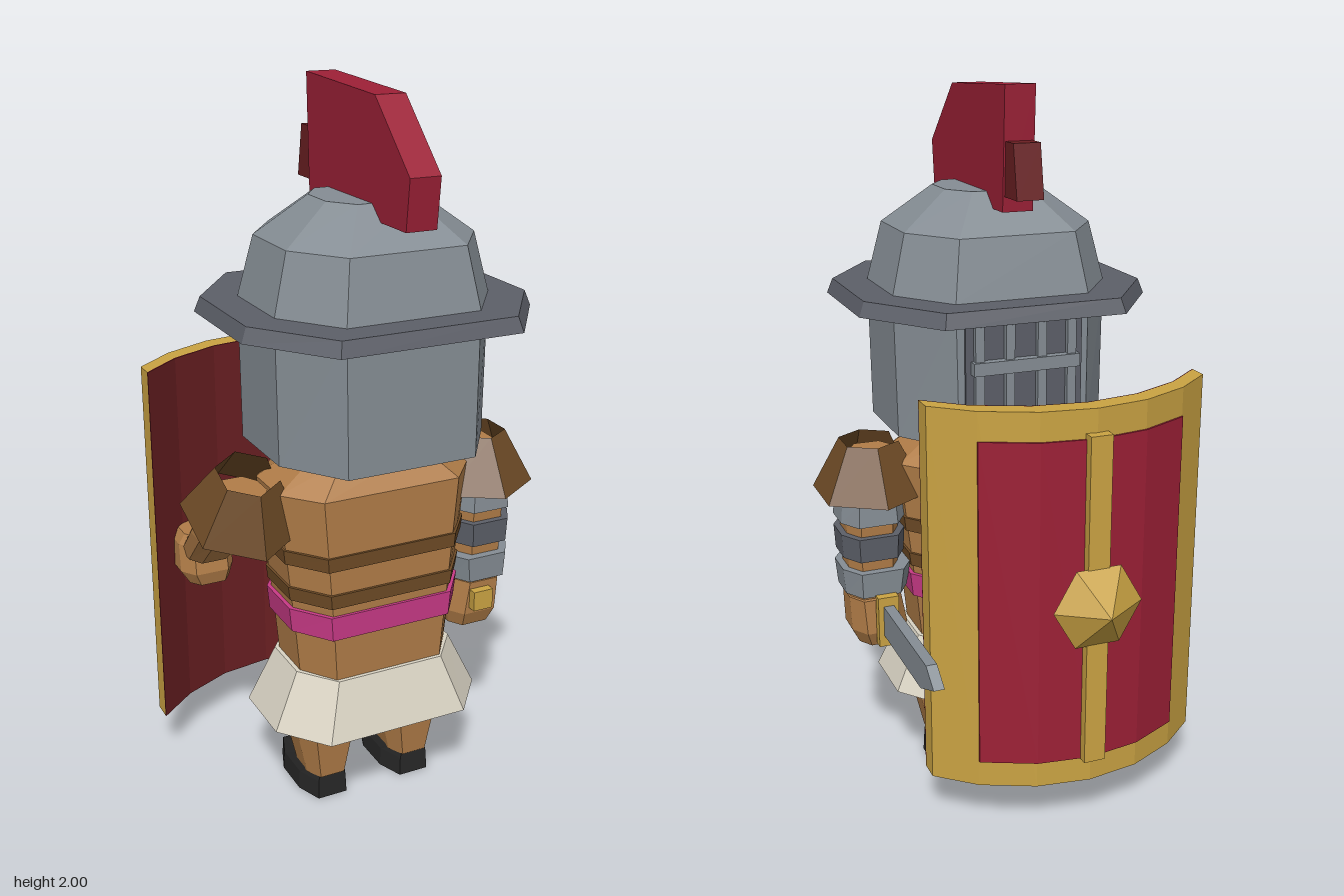
import * as THREE from 'three';

const mat = (name, color, side = THREE.FrontSide) => {
  const m = new THREE.MeshStandardMaterial({ color, side });
  m.name = name;
  return m;
};

// Octagonal loft; each section is [y, halfX, halfZ, centreX, centreZ]
function loft(sections, kx = 0.61, kz = 0.43) {
  const rings = sections.map(([y, hx, hz, cx = 0, cz = 0]) => {
    const a = hx * kx, b = hz * kz;
    return [[-a, hz], [a, hz], [hx, b], [hx, -b], [a, -hz], [-a, -hz], [-hx, -b], [-hx, b]]
      .map(([x, z]) => [cx + x, y, cz + z]);
  });
  const pos = [];
  const tri = (...pts) => pts.forEach((p) => pos.push(...p));
  for (let r = 0; r < rings.length - 1; r++) {
    const lo = rings[r], hi = rings[r + 1];
    for (let i = 0; i < 8; i++) {
      const j = (i + 1) % 8;
      tri(lo[i], lo[j], hi[j]);
      tri(lo[i], hi[j], hi[i]);
    }
  }
  const bottom = rings[0], top = rings[rings.length - 1];
  for (let i = 1; i < 7; i++) {
    tri(top[0], top[i], top[i + 1]);
    tri(bottom[0], bottom[i + 1], bottom[i]);
  }
  const g = new THREE.BufferGeometry();
  g.setAttribute('position', new THREE.Float32BufferAttribute(pos, 3));
  g.computeVertexNormals();
  return g;
}

const flat = (g) => {
  const f = g.index ? g.toNonIndexed() : g;
  f.computeVertexNormals();
  return f;
};

const box = (w, h, d, x, y, z) => new THREE.BoxGeometry(w, h, d).translate(x, y, z);

// Side profile of [z, y] points given a width in x
function sideExtrude(points, width, x = 0) {
  const shape = new THREE.Shape(points.map(([z, y]) => new THREE.Vector2(-z, y)));
  return new THREE.ExtrudeGeometry(shape, { depth: width, bevelEnabled: false })
    .translate(0, 0, -width / 2).rotateY(Math.PI / 2).translate(x, 0, 0);
}

// Plan outline of [x, z] points raised from y0 to y1
function planExtrude(points, y0, y1) {
  const shape = new THREE.Shape(points.map(([x, z]) => new THREE.Vector2(x, -z)));
  return new THREE.ExtrudeGeometry(shape, { depth: y1 - y0, bevelEnabled: false })
    .rotateX(-Math.PI / 2).translate(0, y0, 0);
}

export function createModel() {
  const steel = mat('steel', 0x858d94);
  const darkSteel = mat('dark steel', 0x5c5f68);
  const red = mat('red', 0x9c2036);
  const darkRed = mat('dark red', 0x6a1f22);
  const skin = mat('skin', 0xb17d48);
  const leather = mat('leather', 0x6e4b26, THREE.DoubleSide);
  const magenta = mat('magenta', 0xc83a86);
  const cream = mat('cream', 0xdad4c4);
  const black = mat('black', 0x262626);
  const gold = mat('gold', 0xcaa343);

  const model = new THREE.Group();
  model.name = 'gladiator';
  const add = (name, geo, material, parent = model) => {
    const m = new THREE.Mesh(geo, material);
    m.name = name;
    parent.add(m);
    return m;
  };

  // Helmet
  const H = 0.135;
  const ring = (y, hx, hz) => [y, hx, hz, 0, H];
  add('helmet', loft([ring(1.07, 0.3, 0.285), ring(1.44, 0.305, 0.28), ring(1.46, 0.305, 0.28),
    ring(1.62, 0.265, 0.245), ring(1.72, 0.133, 0.125)]), steel);
  add('helmetBrim', loft([ring(1.42, 0.41, 0.38), ring(1.46, 0.395, 0.365)]), darkSteel);

  // Face grille
  add('visorPlate', box(0.33, 0.28, 0.008, 0, 1.27, -0.151), darkSteel);
  for (const x of [-0.13, -0.045, 0.045, 0.13]) {
    add('visorBar', box(0.025, 0.26, 0.02, x, 1.27, -0.16), steel);
  }
  add('visorCrossbar', box(0.3, 0.035, 0.025, 0, 1.29, -0.167), steel);

  // Crest
  add('crest', sideExtrude([[0.45, 1.81], [0.435, 1.68], [-0.105, 1.68], [-0.12, 2], [0.27, 1.98]], 0.084), red);
  add('crestHolder', sideExtrude([[-0.09, 1.72], [-0.19, 1.72], [-0.165, 1.86], [-0.1, 1.86]], 0.074), darkRed);

  // Torso and clothing
  const T = 0.14;
  const slice = (y, hx, hz) => [y, hx, hz, 0, T];
  add('torso', loft([slice(0.4, 0.225, 0.165), slice(0.56, 0.24, 0.17), slice(0.65, 0.25, 0.172),
    slice(0.97, 0.285, 0.175), slice(1.05, 0.17, 0.11)], 0.7), skin);
  add('neck', loft([[1.03, 0.13, 0.12, 0, 0.1], [1.08, 0.13, 0.12, 0, 0.1]]), skin);
  add('belt', loft([slice(0.565, 0.253, 0.178), slice(0.635, 0.26, 0.18)], 0.7), magenta);
  add('lowerStrap', loft([slice(0.66, 0.257, 0.178), slice(0.7, 0.262, 0.18)], 0.7), leather);
  add('upperStrap', loft([slice(0.77, 0.27, 0.179), slice(0.81, 0.274, 0.18)], 0.7), leather);
  add('skirt', loft([slice(0.275, 0.315, 0.23), slice(0.435, 0.24, 0.177)], 0.66), cream);

  // Legs and shoes
  for (const side of [-1, 1]) {
    const x = side * 0.133;
    add('leg', loft([[0.07, 0.06, 0.08, x, T], [0.2, 0.09, 0.095, x, T], [0.3, 0.105, 0.1, x, T]]), skin);
    add('shoe', loft([[0, 0.073, 0.13, x, 0.09], [0.055, 0.07, 0.127, x, 0.09],
      [0.095, 0.055, 0.075, x, 0.14]]), black);
  }

  // Shoulder guards: open six-sided cones with a gap on the inner side
  for (const side of [-1, 1]) {
    const cone = new THREE.CylinderGeometry(0.085, 0.165, 0.15, 5, 1, true,
      -Math.PI / 3, Math.PI * 5 / 3);
    const g = flat(cone.scale(1, 1, 1.08));
    const guard = add('shoulderGuard', g, leather);
    guard.position.set(side * 0.35, 0.955, T);
    guard.rotation.set(side < 0 ? 0.35 : 0, side < 0 ? Math.PI : 0, 0);
  }

  // Sword arm
  const A = 0.36, Z = 0.13;
  add('swordArm', loft([[0.55, 0.07, 0.075, A, Z], [0.8, 0.075, 0.085, A, Z], [1.0, 0.06, 0.07, A - 0.02, Z]]), skin);
  add('swordHand', loft([[0.435, 0.065, 0.07, 0.345, 0.12], [0.48, 0.082, 0.088, 0.35, 0.12],
    [0.58, 0.075, 0.085, 0.36, 0.125]]), skin);
  add('upperArmBand', loft([[0.81, 0.092, 0.103, A, Z], [0.88, 0.085, 0.098, A, Z]]), steel);
  add('middleArmBand', loft([[0.705, 0.088, 0.1, A, Z], [0.775, 0.092, 0.103, A, Z]]), darkSteel);
  add('lowerArmBand', loft([[0.595, 0.09, 0.1, 0.355, Z], [0.67, 0.1, 0.104, 0.352, Z]]), steel);

  // Sword
  add('swordBlade', sideExtrude([[0.01, 0.483], [-0.32, 0.483], [-0.43, 0.53], [-0.37, 0.573], [0.01, 0.573]], 0.03, 0.345), steel);
  add('swordGuard', box(0.06, 0.15, 0.027, 0.345, 0.525, 0.017), gold);
  add('swordPommel', box(0.062, 0.06, 0.04, 0.345, 0.53, 0.215), gold);

  // Shield arm, reaching back and down
  add('shieldArm', loft([[0.66, 0.06, 0.075, -0.355, -0.17], [0.78, 0.068, 0.08, -0.365, -0.03],
    [0.97, 0.065, 0.08, -0.36, 0.13]]), skin);
  add('shieldHand', loft([[0.57, 0.06, 0.055, -0.345, -0.19], [0.61, 0.08, 0.08, -0.35, -0.205],
    [0.69, 0.078, 0.08, -0.35, -0.22], [0.72, 0.06, 0.06, -0.35, -0.21]]), skin);

  // Curved shield
  const arc = [[-0.5, -0.225], [-0.39, -0.315], [-0.25, -0.38], [-0.1, -0.402],
    [0.05, -0.38], [0.195, -0.315], [0.3, -0.225]];
  const layer = (pts, dz0, dz1, y0, y1) => planExtrude([
    ...pts.map(([x, z]) => [x, z + dz1]),
    ...[...pts].reverse().map(([x, z]) => [x, z + dz0]),
  ], y0, y1);
  const shield = new THREE.Group();
  shield.name = 'shield';
  model.add(shield);
  add('shieldBody', layer(arc, 0, 0.055, 0.145, 1.225), gold, shield);
  add('shieldLining', layer(arc, 0.054, 0.059, 0.145, 1.225), darkRed, shield);
  add('shieldPanel', layer(arc.slice(1, 6), -0.006, 0.001, 0.22, 1.145), red, shield);
  add('shieldBar', box(0.062, 0.94, 0.04, -0.1, 0.69, -0.41), gold, shield);
  const boss = new THREE.ConeGeometry(0.128, 0.084, 6).rotateY(Math.PI / 6).rotateX(-Math.PI / 2);
  add('shieldBoss', flat(boss), gold, shield).position.set(-0.1, 0.685, -0.47);

  return model;
}
